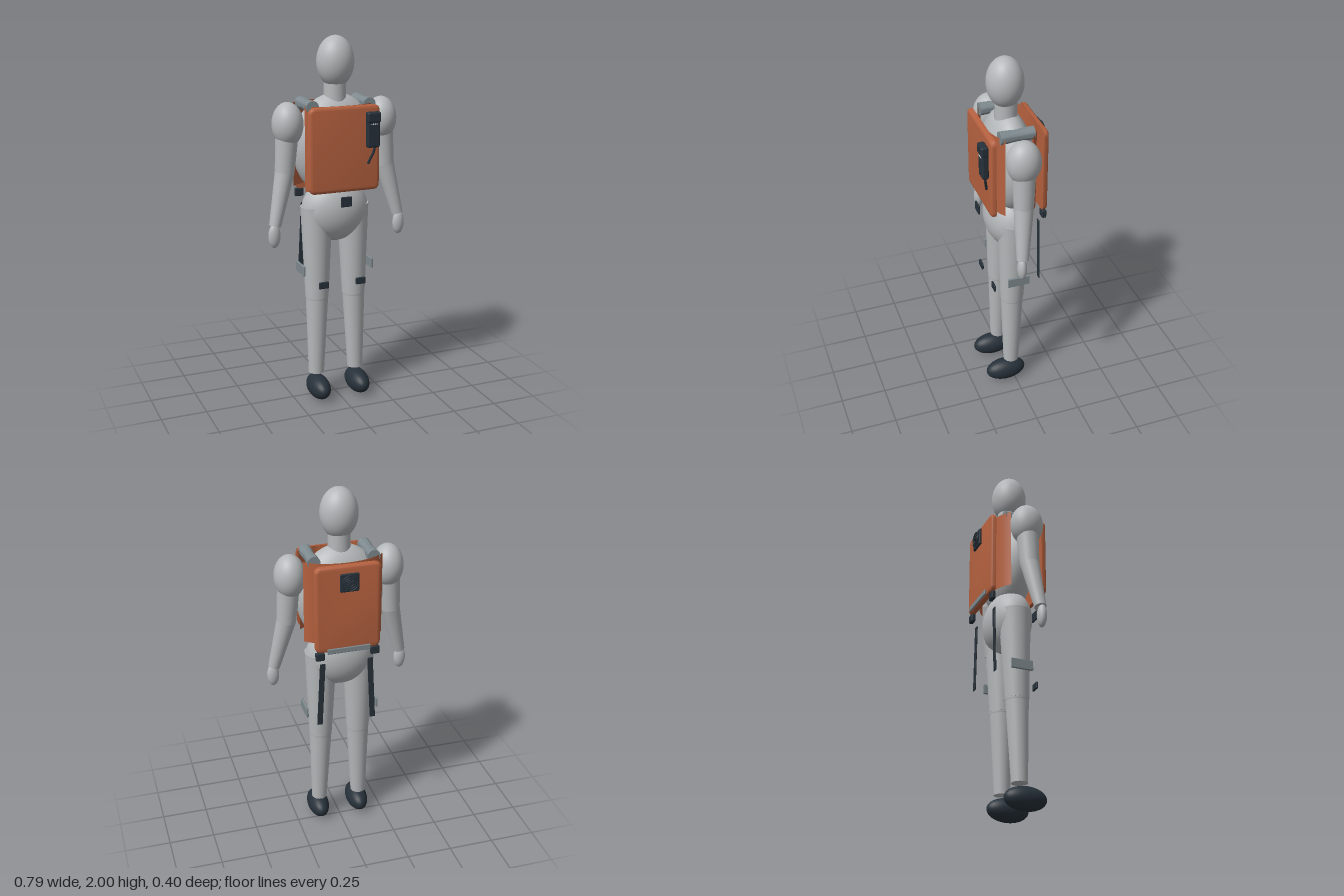
import * as THREE from 'three';
import { toCreasedNormals } from 'three/addons/utils/BufferGeometryUtils.js';
import { RoundedBoxGeometry } from 'three/addons/geometries/RoundedBoxGeometry.js';

const mat = (name, color, side = THREE.FrontSide) => {
  const m = new THREE.MeshStandardMaterial({ color, side });
  m.name = name;
  return m;
};

export function createModel() {
  const body = mat('body grey', 0xb5b8ba);
  const orange = mat('vest orange', 0xb5613f, THREE.DoubleSide);
  const dark = mat('dark slate', 0x27313a);
  const webbing = mat('webbing grey', 0x7f8b90);
  const light = mat('light grey', 0xc8d0d4);
  const model = new THREE.Group();
  model.name = 'mannequinWithVest';

  const add = (name, geo, material, x = 0, y = 0, z = 0, parent = model) => {
    const m = new THREE.Mesh(geo, material);
    m.name = name;
    m.position.set(x, y, z);
    parent.add(m);
    return m;
  };
  const ball = (name, material, [x, y, z], [rx, ry, rz]) =>
    add(name, new THREE.SphereGeometry(1, 40, 28).scale(rx, ry, rz), material, x, y, z);
  // Tapered limb running between two points
  const limb = (name, a, b, ra, rb) => {
    const from = new THREE.Vector3(...a), to = new THREE.Vector3(...b);
    const d = to.clone().sub(from);
    const m = add(name, new THREE.CylinderGeometry(rb, ra, d.length(), 32), body);
    m.position.copy(from).addScaledVector(d, 0.5);
    m.quaternion.setFromUnitVectors(new THREE.Vector3(0, 1, 0), d.normalize());
  };
  const block = (name, material, [x, y, z], [w, h, d], r = 0.004, parent = model) =>
    add(name, new RoundedBoxGeometry(w, h, d, 3, r), material, x, y, z, parent);

  // Head and trunk
  ball('head', body, [0, 1.865, 0.01], [0.1, 0.135, 0.097]);
  add('neck', new THREE.CylinderGeometry(0.058, 0.06, 0.12, 32), body, 0, 1.71, 0.005);
  ball('torso', body, [0, 1.42, 0], [0.235, 0.28, 0.13]);
  ball('pelvis', body, [0, 1.07, 0], [0.187, 0.175, 0.125]);

  // Limbs, mirrored
  for (const s of [1, -1]) {
    const side = s > 0 ? 'left' : 'right';
    ball(side + 'Shoulder', body, [s * 0.265, 1.55, 0.005], [0.083, 0.117, 0.09]);
    limb(side + 'UpperArm', [s * 0.265, 1.55, 0.005], [s * 0.287, 1.3, 0.012], 0.064, 0.052);
    ball(side + 'Elbow', body, [s * 0.287, 1.3, 0.012], [0.052, 0.052, 0.052]);
    limb(side + 'Forearm', [s * 0.287, 1.3, 0.012], [s * 0.354, 1.02, 0.04], 0.052, 0.032);
    ball(side + 'Hand', body, [s * 0.36, 0.967, 0.045], [0.033, 0.065, 0.025]);
    limb(side + 'Thigh', [s * 0.105, 1.095, 0], [s * 0.108, 0.59, 0.01], 0.087, 0.064);
    ball(side + 'Knee', body, [s * 0.108, 0.59, 0.01], [0.063, 0.063, 0.063]);
    limb(side + 'Shin', [s * 0.108, 0.59, 0.01], [s * 0.117, 0.14, 0.018], 0.062, 0.043);
    ball(side + 'Foot', dark, [s * 0.117, 0.064, 0.05], [0.059, 0.064, 0.115]);
  }

  // Vest panel: rounded plate, flat inside, bevelled outside
  const panel = (halfW, halfH) => {
    const b = 0.018, w = halfW - b, h = halfH - b, r = 0.015;
    const s = new THREE.Shape();
    s.moveTo(-w + r, -h);
    s.lineTo(w - r, -h).quadraticCurveTo(w, -h, w, -h + r);
    s.lineTo(w, h - r).quadraticCurveTo(w, h, w - r, h);
    s.lineTo(-w + r, h).quadraticCurveTo(-w, h, -w, h - r);
    s.lineTo(-w, -h + r).quadraticCurveTo(-w, -h, -w + r, -h);
    const g = new THREE.ExtrudeGeometry(s, {
      depth: 0.012, bevelThickness: 0.016, bevelSize: b, bevelSegments: 5, curveSegments: 6,
    });
    const p = g.attributes.position;
    for (let i = 0; i < p.count; i++) p.setZ(i, Math.max(0, p.getZ(i)));
    return toCreasedNormals(g, 0.6);
  };
  add('frontPanel', panel(0.197, 0.227), orange, 0, 1.422, 0.125);
  add('rearPanel', panel(0.176, 0.24), orange, 0, 1.405, -0.137).rotation.y = Math.PI;

  // Thin curved liners hugging the torso behind each panel
  const liner = (name, a, centre) => {
    const g = new THREE.CylinderGeometry(1, 1, 0.45, 20, 1, true, centre - a, 2 * a);
    add(name, g.scale(0.24, 1, 0.135), orange, 0, 1.425, 0);
  };
  liner('frontLiner', 0.96, 0);
  liner('rearLiner', 1.08, Math.PI);

  // Shoulder pads, slightly waisted rolls
  const padProfile = [[0, -0.091], [0.034, -0.091], [0.033, -0.05], [0.029, 0],
    [0.033, 0.05], [0.034, 0.091], [0, 0.091]].map(p => new THREE.Vector2(...p));
  for (const s of [1, -1]) {
    const g = new THREE.LatheGeometry(padProfile, 28).rotateX(Math.PI / 2);
    add('shoulderPad', toCreasedNormals(g, 0.6), webbing, s * 0.159, 1.645, 0.006);
  }

  // Handset on the chest with coiled lead
  const handset = new THREE.Group();
  handset.name = 'handset';
  model.add(handset);
  block('handsetBody', dark, [0.145, 1.515, 0.175], [0.07, 0.17, 0.035], 0.01, handset);
  block('handsetHead', dark, [0.145, 1.59, 0.179], [0.076, 0.055, 0.04], 0.01, handset);
  for (let i = 0; i < 4; i++) {
    block('handsetLight', light, [0.13 + i * 0.01, 1.555, 0.194], [0.006, 0.006, 0.005], 0.001, handset);
  }
  const lead = new THREE.CatmullRomCurve3([[0.157, 1.44, 0.172], [0.152, 1.405, 0.17],
    [0.138, 1.37, 0.162], [0.126, 1.34, 0.156]].map(p => new THREE.Vector3(...p)));
  add('lead', new THREE.TubeGeometry(lead, 20, 0.007, 10), dark, 0, 0, 0, handset);

  // Rear fan: plate, rings, blades and hub
  const fan = new THREE.Group();
  fan.name = 'fan';
  fan.position.set(0, 1.56, -0.18);
  model.add(fan);
  block('fanPlate', dark, [0, 0, 0], [0.1, 0.1, 0.014], 0.006, fan);
  for (const r of [0.042, 0.03, 0.018]) {
    add('fanRing', new THREE.TorusGeometry(r, 0.0025, 8, 32), dark, 0, 0, -0.012, fan);
  }
  for (let i = 0; i < 6; i++) {
    block('fanBlade', dark, [0, 0, -0.01], [0.084, 0.005, 0.004], 0.001, fan).rotation.z = i * Math.PI / 6;
  }
  add('fanHub', new THREE.CylinderGeometry(0.01, 0.01, 0.012, 20).rotateX(Math.PI / 2), dark, 0, 0, -0.015, fan);

  // Waist hardware
  block('frontBuckle', dark, [0, 1.147, 0.165], [0.062, 0.055, 0.009], 0.004);
  block('rearBar', webbing, [0, 1.178, -0.175], [0.235, 0.03, 0.009], 0.004);

  // Buckles, hanging straps and leg fittings, mirrored
  for (const s of [1, -1]) {
    block('rearBuckle', dark, [s * 0.15, 1.142, -0.148], [0.048, 0.045, 0.024], 0.006);
    const strap = block('hangingStrap', dark, [s * 0.14, 0.9, -0.13], [0.03, 0.37, 0.006], 0.002);
    strap.rotation.z = s * 0.05;
    block('thighPlate', webbing, [s * 0.198, 0.753, 0.002], [0.012, 0.054, 0.122], 0.003);
    block('kneeBuckle', dark, [s * 0.107, 0.68, 0.115], [0.056, 0.038, 0.012], 0.005);
  }
  return model;
}
